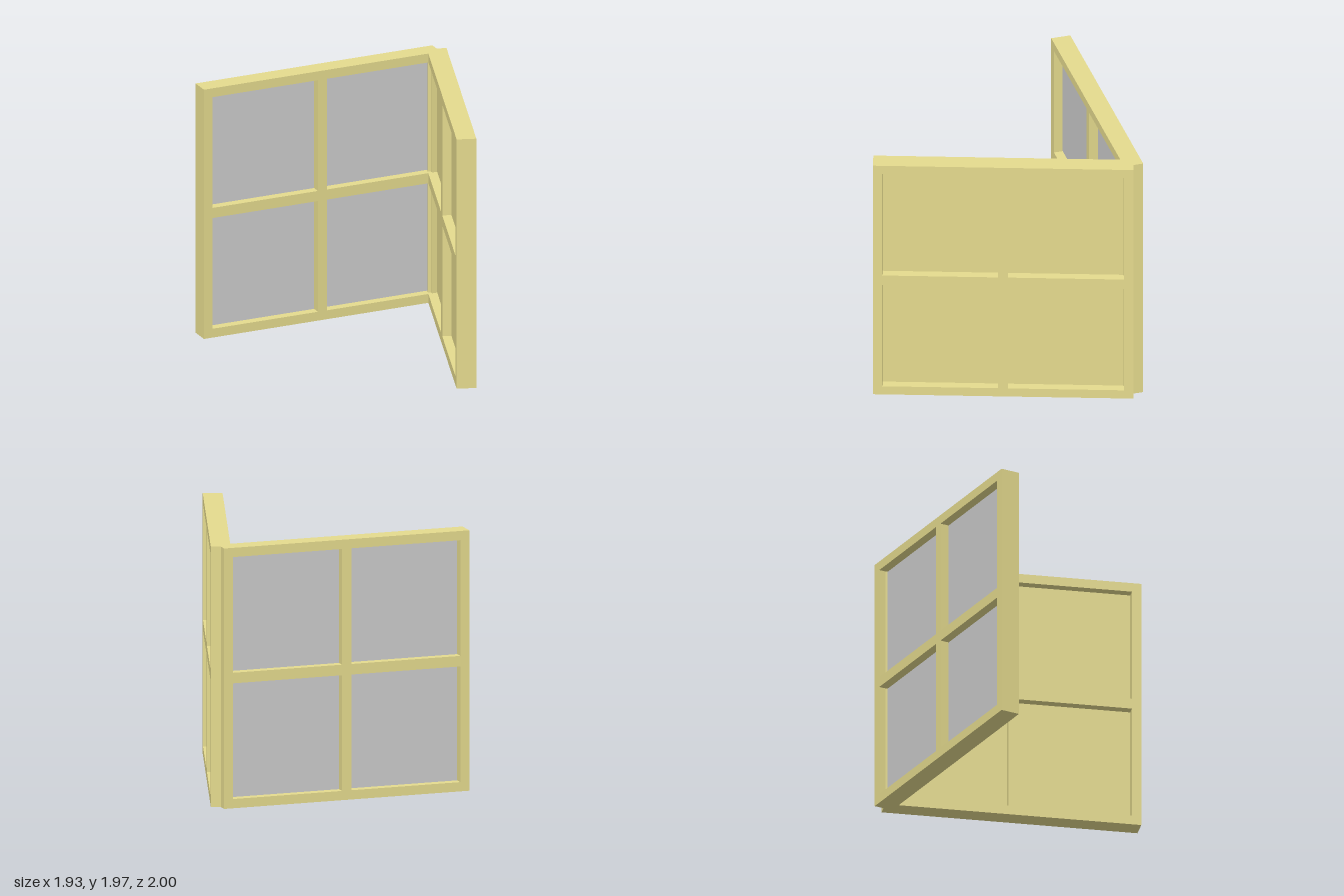
import * as THREE from 'three';

const W = 1.93, H = 1.97, T = 0.147;   // panel width, height, thickness
const BORDER = 0.07, MULLION = 0.072, RAIL = 0.08, PANE = 0.01;

const frameMat = new THREE.MeshStandardMaterial({ color: 0xe5db8e });
const greyMat = new THREE.MeshStandardMaterial({ color: 0xcccccc });

// A four-light window panel, centred on x and z, standing on y = 0
function createPanel(name, paneMat) {
  const panel = new THREE.Group();
  panel.name = name;

  const paneW = (W - 2 * BORDER - MULLION) / 2;
  const paneH = (H - 2 * BORDER - RAIL) / 2;

  const outline = new THREE.Shape([
    new THREE.Vector2(-W / 2, 0), new THREE.Vector2(W / 2, 0),
    new THREE.Vector2(W / 2, H), new THREE.Vector2(-W / 2, H),
  ]);

  for (const x of [-W / 2 + BORDER, MULLION / 2]) {
    for (const y of [BORDER, BORDER + paneH + RAIL]) {
      // Opening in the frame
      outline.holes.push(new THREE.Path([
        new THREE.Vector2(x, y), new THREE.Vector2(x, y + paneH),
        new THREE.Vector2(x + paneW, y + paneH), new THREE.Vector2(x + paneW, y),
      ]));
      // Thin pane, recessed equally on both faces
      const pane = new THREE.Mesh(new THREE.BoxGeometry(paneW, paneH, PANE), paneMat);
      pane.name = 'pane';
      pane.position.set(x + paneW / 2, y + paneH / 2, 0);
      panel.add(pane);
    }
  }

  const geometry = new THREE.ExtrudeGeometry(outline, { depth: T, bevelEnabled: false });
  geometry.translate(0, 0, -T / 2);
  const frame = new THREE.Mesh(geometry, frameMat);
  frame.name = 'frame';
  panel.add(frame);
  return panel;
}

export function createModel() {
  const model = new THREE.Group();
  model.name = 'hingedWindowPanels';

  // Side panel running front to back
  const side = createPanel('sidePanel', frameMat);
  side.rotation.y = Math.PI / 2;
  side.position.set(0.89, 0, 0.035);

  // Rear panel swung open at an angle
  const rear = createPanel('rearPanel', greyMat);
  rear.rotation.y = Math.atan2(0.6, 1.83);
  rear.position.set(-0.0275, 0, -0.63);

  model.add(side, rear);
  return model;
}
